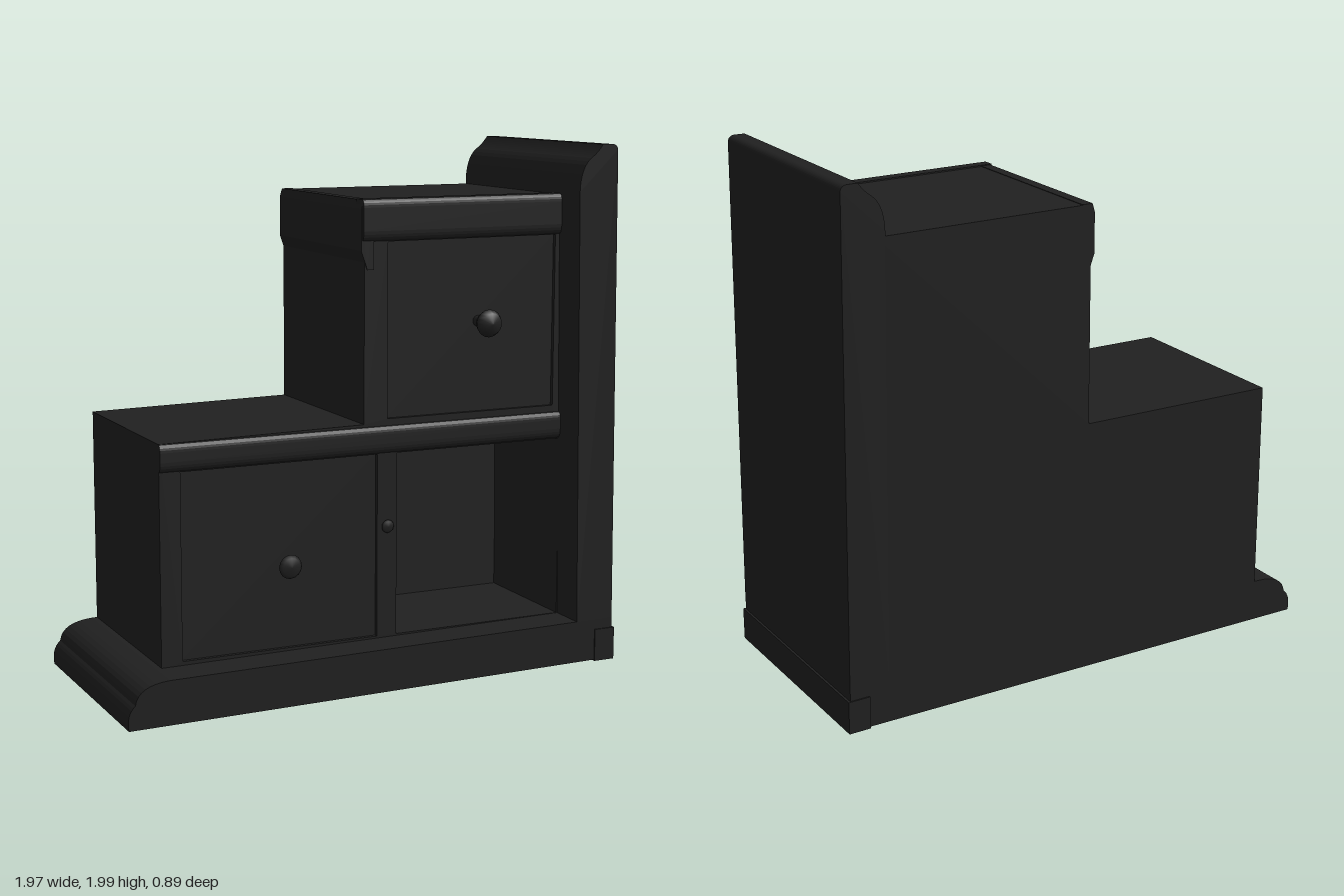
import * as THREE from 'three';

const BACK = -0.44;

// Shape from a list of points
const poly = (pts) => new THREE.Shape(pts.map(([x, y]) => new THREE.Vector2(x, y)));
const rectHole = (x0, x1, y0, y1) => new THREE.Path(
  [[x0, y0], [x0, y1], [x1, y1], [x1, y0]].map(([x, y]) => new THREE.Vector2(x, y)));

export function createModel() {
  const group = new THREE.Group();
  const black = new THREE.MeshStandardMaterial({ color: 0x202020 });
  black.name = 'black lacquer';

  const add = (name, geometry) => {
    const mesh = new THREE.Mesh(geometry, black);
    mesh.name = name;
    group.add(mesh);
    return mesh;
  };
  // Front-view shape pushed from z0 to z1
  const slab = (name, shape, z0, z1) => add(name, new THREE.ExtrudeGeometry(shape,
    { depth: z1 - z0, bevelEnabled: false, curveSegments: 8 }).translate(0, 0, z0));
  const box = (name, x0, x1, y0, y1, z0, z1) => add(name,
    new THREE.BoxGeometry(x1 - x0, y1 - y0, z1 - z0)
      .translate((x0 + x1) / 2, (y0 + y1) / 2, (z0 + z1) / 2));

  // Base board with a rounded, stepped left end
  const base = new THREE.Shape();
  base.moveTo(-0.985, 0.01);
  base.lineTo(0.98, 0.03);
  base.lineTo(0.975, 0.19);
  base.lineTo(-0.83, 0.175);
  base.quadraticCurveTo(-0.95, 0.17, -0.96, 0.1);
  base.quadraticCurveTo(-0.995, 0.07, -0.985, 0.01);
  slab('baseBoard', base, BACK, 0.44);

  // Tall side panel with a rounded inner top edge
  const side = new THREE.Shape();
  side.moveTo(0.82, 0.18);
  side.lineTo(0.976, 0.18);
  side.lineTo(0.955, 1.98);
  side.quadraticCurveTo(0.95, 2, 0.93, 2);
  side.lineTo(0.89, 2);
  side.quadraticCurveTo(0.87, 1.97, 0.84, 1.95);
  side.quadraticCurveTo(0.79, 1.91, 0.795, 1.8);
  slab('sidePanel', side, BACK, 0.44);
  box('baseFoot', 0.9, 0.985, 0.025, 0.15, BACK - 0.005, 0.445);

  // Stepped cabinet: solid rear part, then a front part with openings
  const outline = [[-0.81, 0.17], [0.83, 0.17], [0.83, 1.81], [-0.015, 1.81], [-0.015, 0.995], [-0.81, 0.985]];
  slab('cabinetRear', poly(outline), BACK, -0.2);
  const front = poly(outline);
  front.holes.push(
    rectHole(0.12, 0.815, 0.19, 0.88),
    rectHole(-0.73, 0.04, 0.19, 0.88),
    rectHole(0.08, 0.78, 1.01, 1.66));
  slab('cabinetFront', front, -0.2, 0.295);

  // Doors set just behind the frame
  box('lowerDoor', -0.74, 0.05, 0.18, 0.89, 0.2, 0.28);
  box('upperDoor', 0.07, 0.79, 1.0, 1.67, 0.2, 0.28);

  // Soft-fronted rails running along x
  const rail = (name, x0, x1, y0, y1, zFront) => {
    const s = new THREE.Shape();
    s.moveTo(0.25, y0);
    s.lineTo(zFront - 0.03, y0);
    s.quadraticCurveTo(zFront, y0, zFront, y0 + 0.04);
    s.lineTo(zFront, y1 - 0.03);
    s.quadraticCurveTo(zFront, y1, zFront - 0.02, y1);
    s.lineTo(0.25, y1);
    const g = new THREE.ExtrudeGeometry(s, { depth: x1 - x0, bevelEnabled: false, curveSegments: 6 });
    g.rotateY(-Math.PI / 2).translate(x1, 0, 0);
    add(name, g);
  };
  rail('middleRail', -0.81, 0.82, 0.88, 0.985, 0.31);
  rail('topRail', -0.025, 0.82, 1.66, 1.815, 0.312);

  // Slight overhang along the left top edge of the tall box
  slab('topEdge', poly([[-0.005, 1.56], [0.02, 1.56], [0.02, 1.812], [-0.02, 1.812], [-0.03, 1.78], [-0.03, 1.63]]), BACK, 0.3);

  // Turned knobs
  const knob = (name, x, y, z, r, length) => {
    const pts = [[0.4, 0], [0.35, 0.4], [0.8, 0.55], [1, 0.75], [0.75, 0.95], [0, 1]]
      .map(([a, b]) => new THREE.Vector2(a * r, b * length));
    add(name, new THREE.LatheGeometry(pts, 16).rotateX(Math.PI / 2)).position.set(x, y, z);
  };
  knob('upperKnob', 0.46, 1.35, 0.275, 0.052, 0.125);
  knob('lowerKnob', -0.32, 0.5, 0.275, 0.045, 0.06);
  knob('dividerCatch', 0.075, 0.61, 0.29, 0.025, 0.03);

  return group;
}
